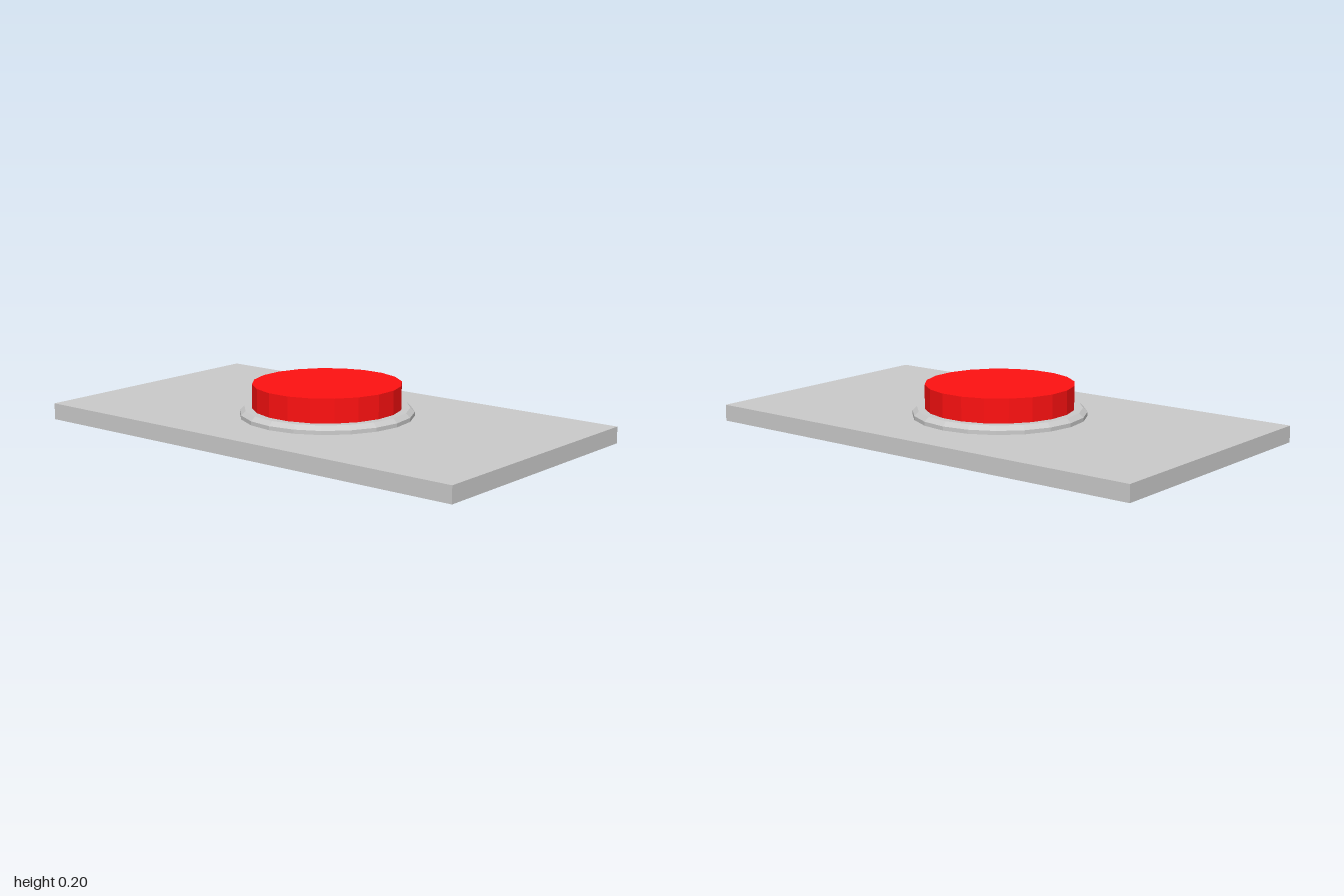
import * as THREE from 'three';

const SIDES = 20;

export function createModel() {
  const model = new THREE.Group();
  const grey = new THREE.MeshStandardMaterial({ color: 0xcccccc, flatShading: true });
  const red = new THREE.MeshStandardMaterial({ color: 0xff1111, flatShading: true });

  const add = (name, geometry, material, y) => {
    const mesh = new THREE.Mesh(geometry, material);
    mesh.name = name;
    mesh.position.y = y;
    model.add(mesh);
    return mesh;
  };

  // Flat rectangular base
  add('basePlate', new THREE.BoxGeometry(1.108, 0.067, 2), grey, 0.0335);

  // Collar with a bevelled upper rim
  const profile = [[0, 0], [0.35, 0], [0.35, 0.016], [0.332, 0.033], [0, 0.033]]
    .map(([r, y]) => new THREE.Vector2(r, y));
  add('collar', new THREE.LatheGeometry(profile, SIDES), grey, 0.067);

  // Push button, turned half a facet against the collar
  const button = add('button', new THREE.CylinderGeometry(0.3, 0.3, 0.097, SIDES), red, 0.1485);
  button.rotation.y = Math.PI / SIDES;

  return model;
}
